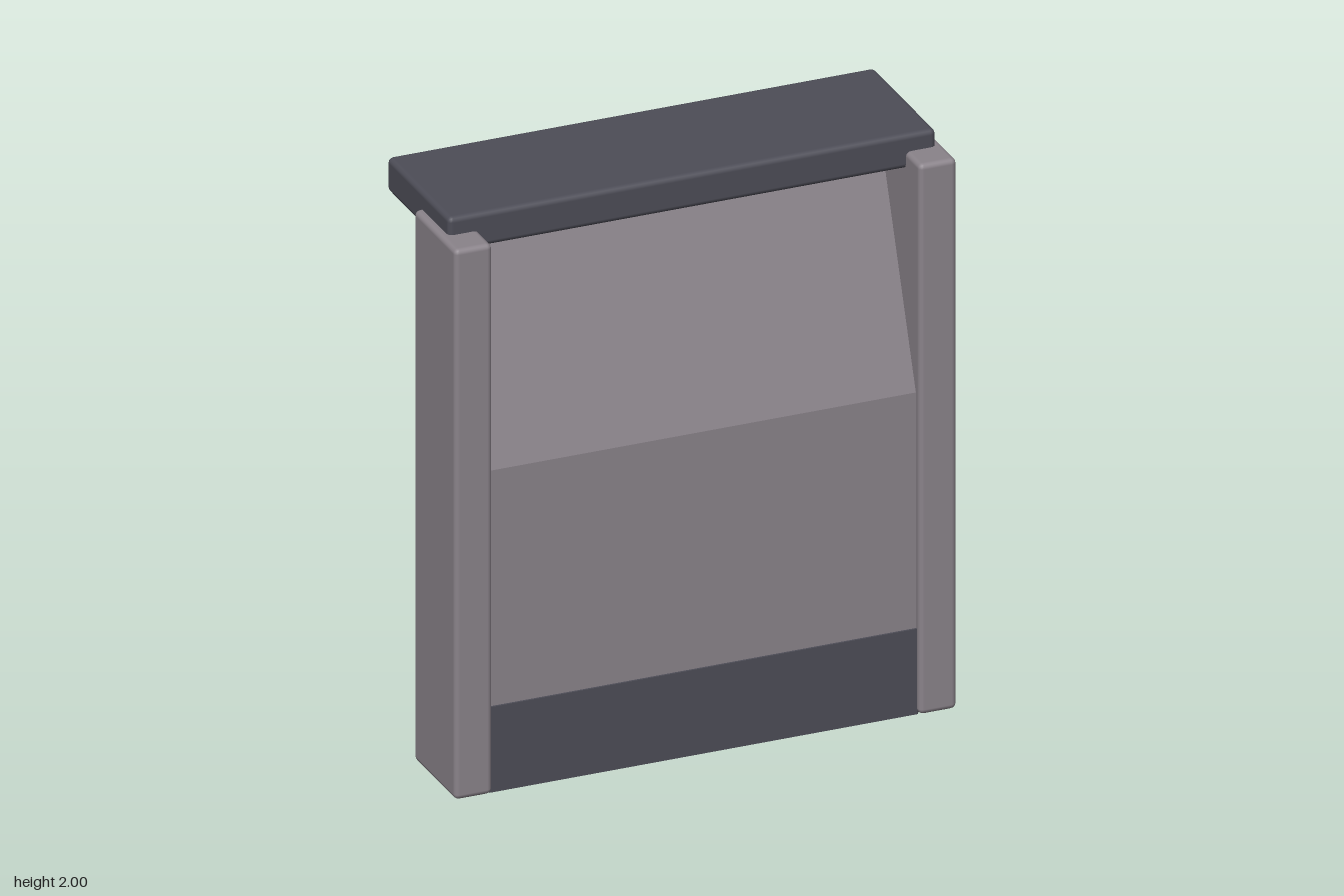
import * as THREE from 'three';
import { RoundedBoxGeometry } from 'three/addons/geometries/RoundedBoxGeometry.js';

const paint = (name, color) => {
  const m = new THREE.MeshStandardMaterial({ color });
  m.name = name;
  return m;
};

export function createModel() {
  const model = new THREE.Group();
  model.name = 'wallPanel';
  const grey = paint('warm grey', 0x8a838a);
  const dark = paint('dark slate', 0x4d4d57);
  const pink = paint('pink light', 0xcc5ca6);
  const red = paint('red light', 0xc85252);

  const add = (name, geometry, material) => {
    const mesh = new THREE.Mesh(geometry, material);
    mesh.name = name;
    model.add(mesh);
    return mesh;
  };

  // Box given by its limits on each axis, with optional softened edges
  const box = (name, material, [x0, x1], [y0, y1], [z0, z1], radius = 0) => {
    const size = [x1 - x0, y1 - y0, z1 - z0];
    const geometry = radius
      ? new RoundedBoxGeometry(...size, 2, radius)
      : new THREE.BoxGeometry(...size);
    geometry.translate((x0 + x1) / 2, (y0 + y1) / 2, (z0 + z1) / 2);
    return add(name, geometry, material);
  };

  // Side profile of [z, y] points, swept across the width with bevelled edges
  const sweep = (name, material, points, halfWidth, bevel = 0.008) => {
    const shape = new THREE.Shape(points.map(([z, y]) => new THREE.Vector2(z, y)));
    const depth = 2 * (halfWidth - bevel);
    const geometry = new THREE.ExtrudeGeometry(shape, {
      depth, bevelEnabled: true, bevelSegments: 1,
      bevelSize: bevel, bevelThickness: bevel, bevelOffset: -bevel,
    });
    geometry.translate(0, 0, -depth / 2);
    geometry.rotateY(-Math.PI / 2);
    return add(name, geometry, material);
  };

  // Overhanging cap
  box('topCap', dark, [-0.84, 0.84], [1.88, 2], [-0.305, 0.195], 0.018);

  // Base with a sloped ledge at the back
  sweep('base', dark, [[0.03, 0.005], [0.285, 0.005], [0.285, 0.305], [0.125, 0.305], [0.03, 0.245]], 0.745);

  // Upright lower panel and leaning upper panel
  sweep('lowerPanel', grey, [[0.125, 0.28], [0.278, 0.28], [0.278, 1.132], [0.125, 1.11]], 0.742);
  sweep('upperPanel', grey, [[0.12, 1.11], [0.278, 1.132], [0, 1.89], [-0.16, 1.89]], 0.742);

  // Light strip along the back of the base
  box('baseLightStrip', pink, [-0.735, 0.735], [0.21, 0.243], [0.008, 0.035]);

  for (const side of [-1, 1]) {
    const label = side > 0 ? 'left' : 'right';
    const span = (a, b) => (side > 0 ? [a, b] : [-b, -a]);
    // Side posts with light strips on the back
    box(label + 'Post', grey, span(0.735, 0.865), [0.008, 1.94], [-0.03, 0.305], 0.018);
    box(label + 'LightStrip', pink, span(0.788, 0.824), [0.3, 1.645], [-0.05, -0.025]);
    // Red bars on the back of the seam
    box(label + 'SeamBar', red, span(0.055, 0.445), [1.11, 1.155], [0.07, 0.15]);
  }
  return model;
}
